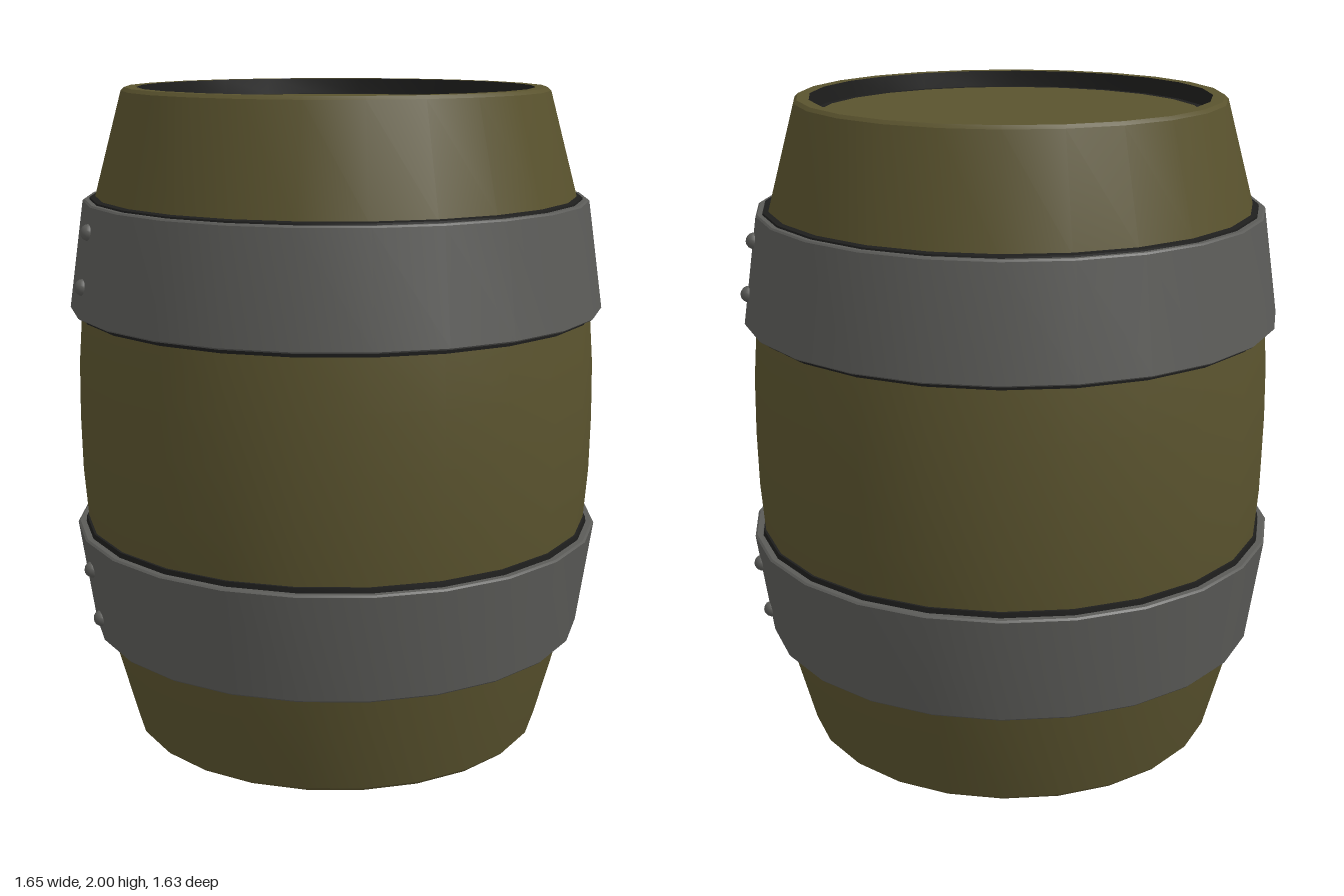
import * as THREE from 'three';
import { toCreasedNormals } from 'three/addons/utils/BufferGeometryUtils.js';

const SIDES = 24;

function mat(name, color) {
  const m = new THREE.MeshStandardMaterial({ color });
  m.name = name;
  return m;
}

// Turned part; the profile runs bottom to top on the outside
function turned(name, profile, material) {
  const points = profile.map(([r, y]) => new THREE.Vector2(r, y));
  const geometry = toCreasedNormals(new THREE.LatheGeometry(points, SIDES), 0.5);
  const mesh = new THREE.Mesh(geometry, material);
  mesh.name = name;
  return mesh;
}

export function createModel() {
  const wood = mat('olive wood', 0x5a532e);
  const iron = mat('grey iron', 0x5b5b58);
  const dark = mat('dark seam', 0x1e1e1d);

  const barrel = new THREE.Group();
  barrel.name = 'barrel';
  barrel.position.y = 1;

  // Bulging staves with bevelled rims, mirrored about the middle
  const half = [[0.794, 0.17], [0.781, 0.34], [0.761, 0.51], [0.733, 0.67],
    [0.646, 0.99], [0.636, 1], [0.6, 1]];
  const lower = half.map(([r, y]) => [r, -y]).reverse();
  barrel.add(turned('staves', [...lower, [0.797, 0], ...half], wood));

  // One end: recessed head, hoop and rivets
  const end = new THREE.Group();
  end.name = 'upperEnd';

  const head = new THREE.Mesh(new THREE.CircleGeometry(0.575, SIDES), wood);
  head.name = 'head';
  head.rotation.x = -Math.PI / 2;
  head.position.y = 0.95;
  end.add(head);

  // Dark inner wall of the rim and seam around the head
  end.add(turned('recessWall', [[0.6, 1], [0.597, 0.95], [0.575, 0.95]], dark));

  // Dark seam between the staves and the hoop
  end.add(turned('hoopSeam', [[0.77, 0.322], [0.789, 0.323], [0.793, 0.36],
    [0.752, 0.65], [0.748, 0.675], [0.725, 0.679]], dark));

  // Tapered iron hoop with bevelled edges
  end.add(turned('hoop', [[0.793, 0.337], [0.81, 0.337], [0.816, 0.342],
    [0.769, 0.665], [0.764, 0.67], [0.75, 0.67], [0.793, 0.337]], iron));

  // Two rivets on each side
  const rivetGeometry = new THREE.SphereGeometry(0.025, 12, 8);
  for (const side of [1, -1]) {
    for (const [r, y] of [[0.799, 0.433], [0.776, 0.593]]) {
      const rivet = new THREE.Mesh(rivetGeometry, iron);
      rivet.name = 'rivet';
      rivet.position.set(side * r, y, 0);
      end.add(rivet);
    }
  }

  const lowerEnd = end.clone();
  lowerEnd.name = 'lowerEnd';
  lowerEnd.rotation.x = Math.PI;
  barrel.add(end, lowerEnd);

  const model = new THREE.Group();
  model.name = 'model';
  model.add(barrel);
  return model;
}
